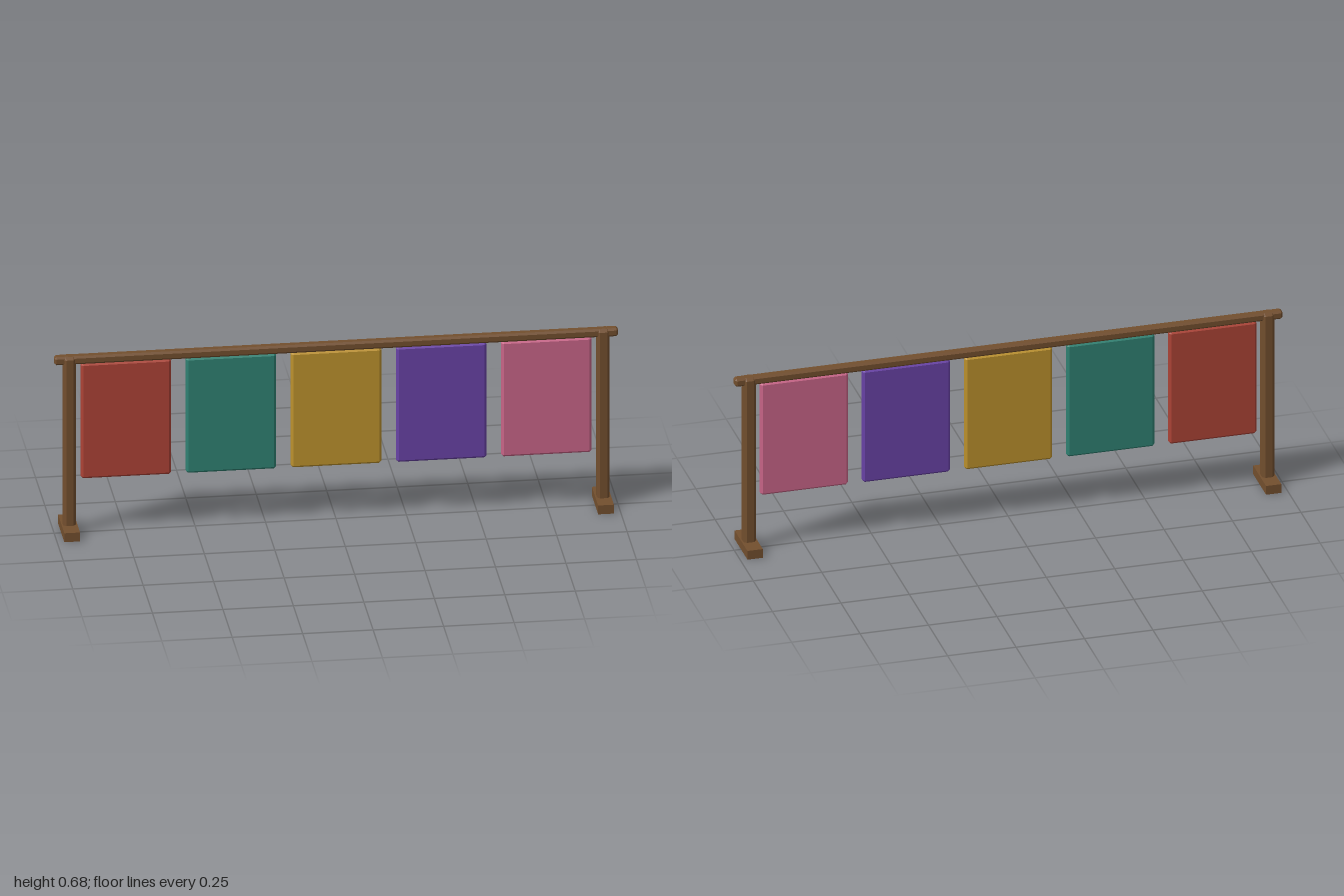
import * as THREE from 'three';
import { ConvexGeometry } from 'three/addons/geometries/ConvexGeometry.js';

const paint = (name, color) => {
  const m = new THREE.MeshStandardMaterial({ color });
  m.name = name;
  return m;
};

// Box with every edge cut off at 45 degrees by c
function chamferedBox(w, h, d, c) {
  const pts = [];
  for (const x of [-w / 2, w / 2])
    for (const y of [-h / 2, h / 2])
      for (const z of [-d / 2, d / 2]) {
        const ix = x - Math.sign(x) * c, iy = y - Math.sign(y) * c, iz = z - Math.sign(z) * c;
        pts.push(
          new THREE.Vector3(x, iy, iz),
          new THREE.Vector3(ix, y, iz),
          new THREE.Vector3(ix, iy, z)
        );
      }
  return new ConvexGeometry(pts);
}

export function createModel() {
  const group = new THREE.Group();
  const wood = paint('brown wood', 0x734f2e);
  const cloths = [
    paint('red cloth', 0xad4336),
    paint('teal cloth', 0x2f8273),
    paint('gold cloth', 0xbd922d),
    paint('purple cloth', 0x6942a7),
    paint('pink cloth', 0xc96588),
  ];

  const add = (name, geometry, material, x, y, z = 0) => {
    const mesh = new THREE.Mesh(geometry, material);
    mesh.name = name;
    mesh.position.set(x, y, z);
    group.add(mesh);
  };

  // Posts on crosswise feet
  const footGeo = new THREE.BoxGeometry(0.056, 0.034, 0.168);
  const postGeo = chamferedBox(0.045, 0.665, 0.045, 0.01);
  for (const [side, s] of [['left', 1], ['right', -1]]) {
    add(side + 'Foot', footGeo, wood, s * 0.947, 0.017);
    add(side + 'Post', postGeo, wood, s * 0.947, 0.345);
  }

  // Top rail
  add('topRail', chamferedBox(2, 0.031, 0.034, 0.007), wood, 0, 0.6625);

  // Hanging panels
  const panelGeo = chamferedBox(0.32, 0.441, 0.026, 0.008);
  cloths.forEach((cloth, i) => add('panel' + (i + 1), panelGeo, cloth, (i - 2) * 0.373, 0.4275));

  return group;
}
